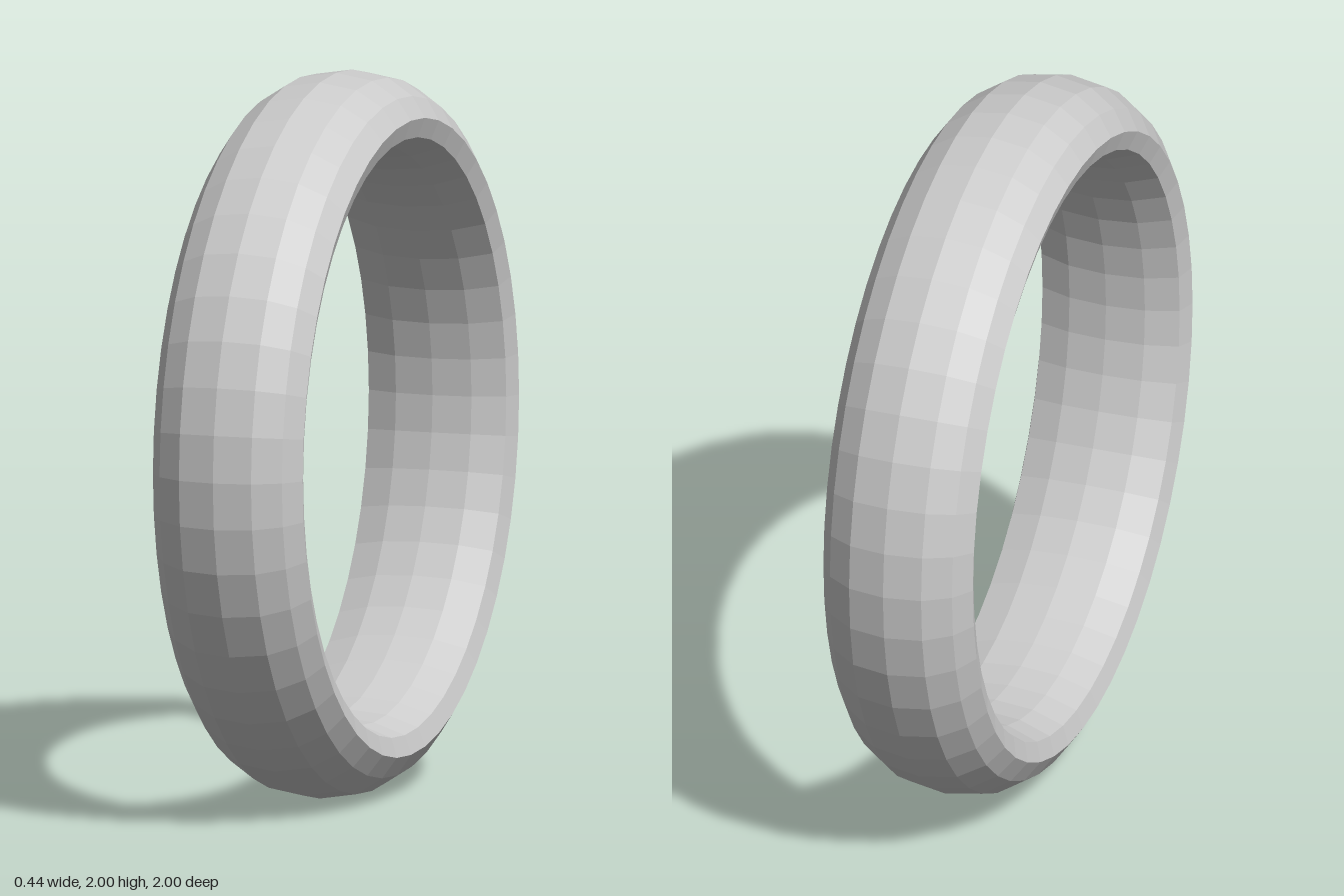
import * as THREE from 'three';

export function createModel() {
  const group = new THREE.Group();
  group.name = 'ring';

  // Half cross-section as [offset along the axis, radius], from crown to bore
  const half = [
    [0, 1], [0.105, 0.983], [0.178, 0.936], [0.218, 0.878], // domed outside
    [0.2, 0.824], [0.11, 0.793], [0, 0.783],                // bevelled rim, rounded bore
  ];

  // Mirror the half section into a closed loop: up the outside, back down the bore
  const right = half.map(([a, r]) => new THREE.Vector2(r, a));
  const left = half.slice(1, -1).reverse().map(([a, r]) => new THREE.Vector2(r, -a));
  const profile = [...right, ...left, right[0].clone()];

  const geometry = new THREE.LatheGeometry(profile, 48);
  geometry.rotateZ(Math.PI / 2); // axis runs left to right
  geometry.translate(0, 1, 0);

  const band = new THREE.Mesh(
    geometry,
    new THREE.MeshStandardMaterial({ color: 0xcccccc, flatShading: true })
  );
  band.name = 'band';
  group.add(band);
  return group;
}
